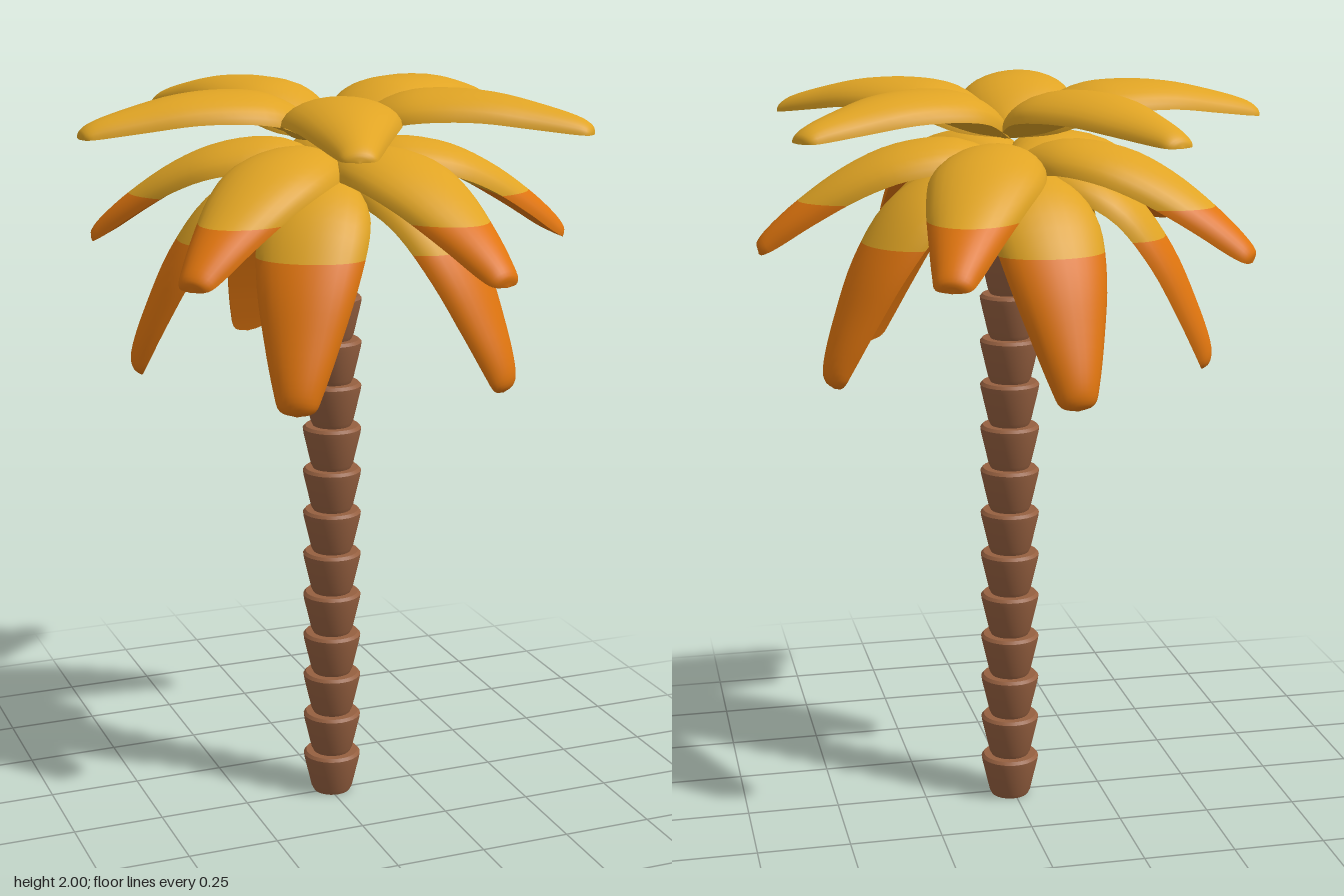
import * as THREE from 'three';
import { toCreasedNormals } from 'three/addons/utils/BufferGeometryUtils.js';

function material(name, color) {
  const m = new THREE.MeshStandardMaterial({ color });
  m.name = name;
  return m;
}

// Splits a non-indexed geometry at a height: group 0 above, group 1 below
function splitAtHeight(geo, level) {
  const pos = geo.attributes.position, nor = geo.attributes.normal;
  const vertex = i => ({
    p: new THREE.Vector3().fromBufferAttribute(pos, i),
    n: new THREE.Vector3().fromBufferAttribute(nor, i),
  });
  const sides = [[], []];
  for (let i = 0; i < pos.count; i += 3) {
    const tri = [vertex(i), vertex(i + 1), vertex(i + 2)];
    sides.forEach((out, s) => {
      const dist = v => (v.p.y - level) * (s ? -1 : 1);
      const poly = [];
      tri.forEach((a, k) => {
        const b = tri[(k + 1) % 3], da = dist(a), db = dist(b);
        if (da >= 0) poly.push(a);
        if (da * db < 0) {
          const f = da / (da - db);
          poly.push({ p: a.p.clone().lerp(b.p, f), n: a.n.clone().lerp(b.n, f).normalize() });
        }
      });
      for (let k = 1; k + 1 < poly.length; k++) out.push(poly[0], poly[k], poly[k + 1]);
    });
  }
  const all = sides.flat(), result = new THREE.BufferGeometry();
  result.setAttribute('position', new THREE.Float32BufferAttribute(all.flatMap(v => v.p.toArray()), 3));
  result.setAttribute('normal', new THREE.Float32BufferAttribute(all.flatMap(v => v.n.toArray()), 3));
  result.addGroup(0, sides[0].length, 0);
  result.addGroup(sides[0].length, sides[1].length, 1);
  return result;
}

// Leaf along +x: domed top over a flat underside; stations are [reach, height, half width, thickness]
function leafGeometry(stations, tipLevel) {
  const curve = pts => new THREE.CatmullRomCurve3(pts, false, 'catmullrom', 0.5);
  const spine = curve(stations.map(([r, y]) => new THREE.Vector3(r, y, 0)));
  const size = curve(stations.map(([, , w, t]) => new THREE.Vector3(w, t, 0)));
  const rows = (stations.length - 1) * 4, cols = 14;
  const positions = [], index = [];

  const addSheet = (n, flip, height) => {
    const start = positions.length / 3;
    for (let i = 0; i <= rows; i++) {
      const u = i / rows, c = spine.getPoint(u), s = size.getPoint(u), d = spine.getTangent(u);
      const w = Math.max(0, s.x), t = Math.max(0, s.y);
      for (let j = 0; j <= n; j++) {
        const a = Math.PI * j / n, h = t * height * Math.sin(a);
        positions.push(c.x - d.y * h, c.y + d.x * h, w * Math.cos(a));
      }
    }
    for (let i = 0; i < rows; i++) {
      for (let j = 0; j < n; j++) {
        const a = start + i * (n + 1) + j, b = a + n + 1;
        if (flip) index.push(a, a + 1, b, b, a + 1, b + 1);
        else index.push(a, b, a + 1, b, b + 1, a + 1);
      }
    }
  };
  addSheet(cols, false, 1);
  addSheet(2, true, 0);

  const geo = new THREE.BufferGeometry();
  geo.setAttribute('position', new THREE.Float32BufferAttribute(positions, 3));
  geo.setIndex(index);
  geo.computeVertexNormals();
  return splitAtHeight(geo.toNonIndexed(), tipLevel);
}

export function createModel() {
  const yellow = material('golden leaf', 0xe0a424);
  const orange = material('orange leaf tip', 0xe0750e);
  const brown = material('brown bark', 0x966040);
  const model = new THREE.Group();
  model.name = 'palmTree';

  // Trunk of stacked flaring rings
  const trunk = new THREE.Group();
  trunk.name = 'trunk';
  const profile = [[0, 0], [0.052, 0], [0.058, 0.012], [0.078, 0.098], [0.08, 0.112], [0.073, 0.12], [0, 0.12]];
  const ring = toCreasedNormals(
    new THREE.LatheGeometry(profile.map(([x, y]) => new THREE.Vector2(x, y)), 28), 0.6);
  for (let i = 0; i < 14; i++) {
    const m = new THREE.Mesh(ring, brown);
    m.name = 'trunkRing';
    m.position.y = i * 0.12;
    trunk.add(m);
  }
  trunk.position.set(0.01, 0, -0.01);
  model.add(trunk);

  // Three tiers of five leaves, each tier drooping more
  const tiers = [
    {
      name: 'topLeaf', tipLevel: 0, angles: [37, 106, 177, 246, 329],
      stations: [[0, 1.85, 0, 0.02], [0.1, 1.87, 0.1, 0.06], [0.2, 1.91, 0.146, 0.075], [0.3, 1.925, 0.148, 0.072],
        [0.42, 1.925, 0.122, 0.065], [0.54, 1.91, 0.085, 0.055], [0.64, 1.897, 0.055, 0.04],
        [0.68, 1.893, 0.038, 0.022], [0.69, 1.892, 0, 0]],
    },
    {
      name: 'middleLeaf', tipLevel: 1.7, angles: [3, 71, 142, 213, 294],
      stations: [[0, 1.69, 0, 0.06], [0.06, 1.73, 0.06, 0.08], [0.15, 1.775, 0.125, 0.08], [0.28, 1.765, 0.146, 0.078],
        [0.4, 1.72, 0.126, 0.072], [0.52, 1.65, 0.09, 0.062], [0.61, 1.59, 0.06, 0.048],
        [0.65, 1.568, 0.042, 0.03], [0.66, 1.563, 0, 0]],
    },
    {
      name: 'lowerLeaf', tipLevel: 1.6, angles: [52, 121, 194, 263, 343],
      stations: [[0, 1.66, 0, 0.05], [0.08, 1.705, 0.07, 0.075], [0.18, 1.7, 0.125, 0.08], [0.28, 1.645, 0.144, 0.078],
        [0.37, 1.53, 0.128, 0.072], [0.44, 1.4, 0.095, 0.062], [0.49, 1.295, 0.064, 0.05],
        [0.51, 1.25, 0.044, 0.03], [0.515, 1.238, 0, 0]],
    },
  ];
  const crown = new THREE.Group();
  crown.name = 'crown';
  crown.position.set(0.01, 0, -0.01);
  for (const { name, tipLevel, angles, stations } of tiers) {
    const geo = leafGeometry(stations, tipLevel);
    for (const angle of angles) {
      const leaf = new THREE.Mesh(geo, [yellow, orange]);
      leaf.name = name;
      leaf.rotation.y = -THREE.MathUtils.degToRad(angle);
      crown.add(leaf);
    }
  }
  model.add(crown);
  return model;
}
